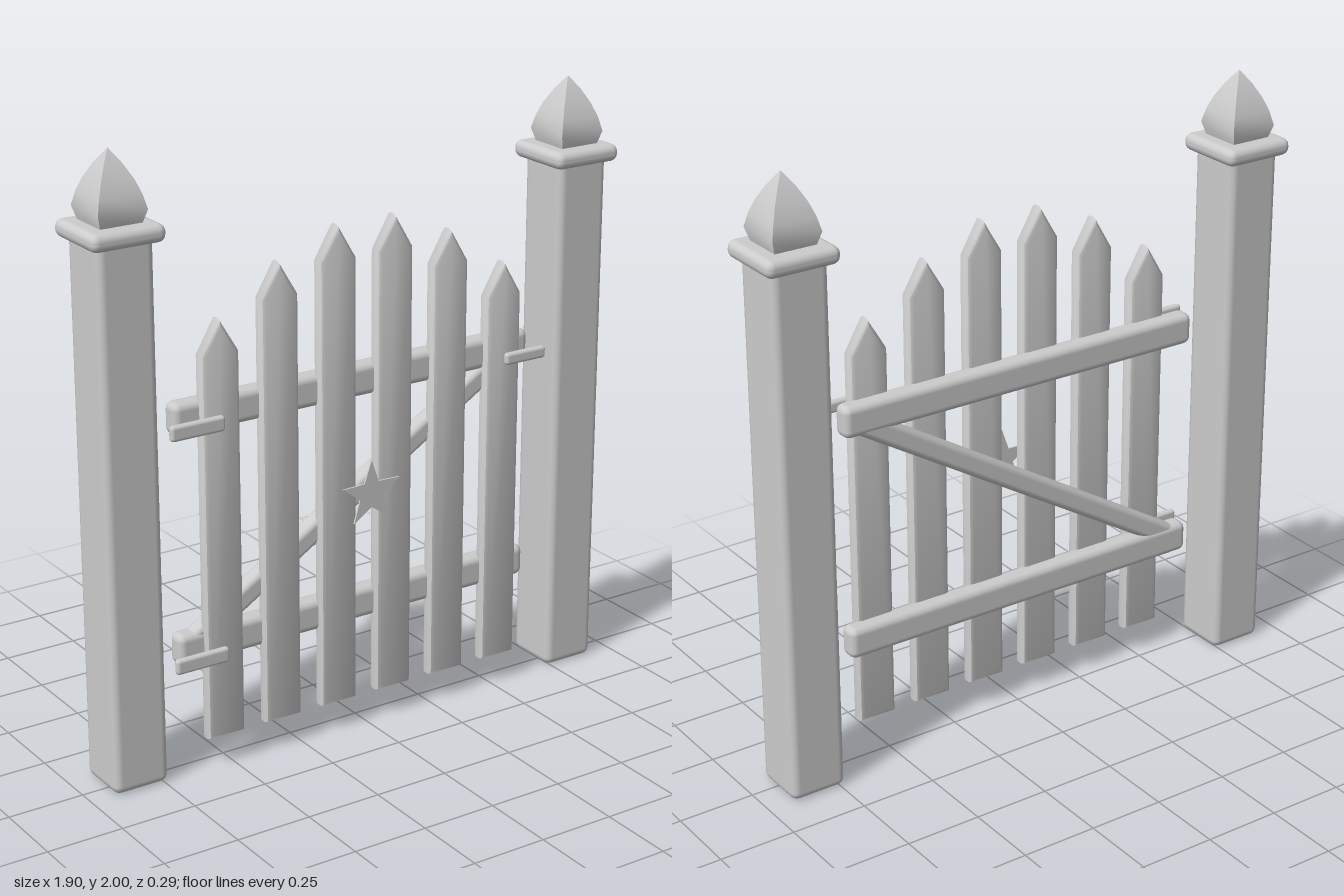
import * as THREE from 'three';
import { toCreasedNormals } from 'three/addons/utils/BufferGeometryUtils.js';
import { RoundedBoxGeometry } from 'three/addons/geometries/RoundedBoxGeometry.js';

export function createModel() {
  const model = new THREE.Group();
  model.name = 'picketGate';
  const paint = new THREE.MeshStandardMaterial({ color: 0xcccccc });
  paint.name = 'pale grey';

  function add(parent, name, geometry, x = 0, y = 0, z = 0) {
    const mesh = new THREE.Mesh(geometry, paint);
    mesh.name = name;
    mesh.position.set(x, y, z);
    parent.add(mesh);
    return mesh;
  }
  const rounded = (w, h, d, r) => new RoundedBoxGeometry(w, h, d, 2, r);

  // Posts with a rounded cap and a four-sided curved finial
  const finialProfile = [
    [0, 1.775], [0.066, 1.775], [0.081, 1.825], [0.07, 1.87], [0.054, 1.912], [0.03, 1.957], [0, 2],
  ].map(([r, y]) => new THREE.Vector2(r * Math.SQRT2, y));
  const finial = toCreasedNormals(new THREE.LatheGeometry(finialProfile, 4, Math.PI / 4), 0.6);
  for (const [side, x] of [['right', -0.828], ['left', 0.825]]) {
    const post = new THREE.Group();
    post.name = side + 'GatePost';
    post.position.set(x, 0, -0.022);
    add(post, 'post', rounded(0.188, 1.76, 0.188, 0.026), 0, 0.88, 0);
    add(post, 'postCap', rounded(0.245, 0.056, 0.245, 0.025), 0, 1.757, 0);
    add(post, 'finial', finial);
    model.add(post);
  }

  // Pointed pickets, rising toward the middle
  const gate = new THREE.Group();
  gate.name = 'gate';
  model.add(gate);
  const bevel = 0.015;
  function picketGeometry(top) {
    const shape = new THREE.Shape([
      [-0.065, 0.1], [0.065, 0.1], [0.065, top - 0.108], [0, top], [-0.065, top - 0.108],
    ].map(([x, y]) => new THREE.Vector2(x, y)));
    const g = new THREE.ExtrudeGeometry(shape, {
      depth: 0.02, bevelEnabled: true, bevelSize: bevel, bevelOffset: -bevel,
      bevelThickness: bevel, bevelSegments: 2,
    });
    return toCreasedNormals(g, 0.7);
  }
  [1.46, 1.6, 1.68, 1.68, 1.6, 1.46].forEach((top, i) => {
    add(gate, 'picket', picketGeometry(top), -0.525 + i * 0.2088, 0, 0.042);
  });

  // Rails and diagonal brace
  for (const y of [0.41, 1.16]) add(gate, 'rail', rounded(1.31, 0.105, 0.068, 0.024), -0.02, y, 0.018);
  add(gate, 'brace', rounded(1.45, 0.074, 0.06, 0.02), -0.02, 0.785, 0.018).rotation.z = 0.548;

  // Hinge straps and latch
  for (const y of [0.41, 1.16]) add(gate, 'hingeStrap', rounded(0.185, 0.05, 0.024, 0.011), -0.643, y, 0.13);
  add(gate, 'latch', rounded(0.155, 0.04, 0.024, 0.011), 0.56, 1.16, 0.13);

  // Thin star ornament
  const starPoints = [];
  for (let i = 0; i < 10; i++) {
    const a = Math.PI / 2 + i * Math.PI / 5, r = i % 2 ? 0.045 : 0.11;
    starPoints.push(new THREE.Vector2(r * Math.cos(a), r * Math.sin(a)));
  }
  add(gate, 'star', new THREE.ExtrudeGeometry(new THREE.Shape(starPoints),
    { depth: 0.006, bevelEnabled: false }), -0.02, 0.814, 0.118);

  return model;
}
